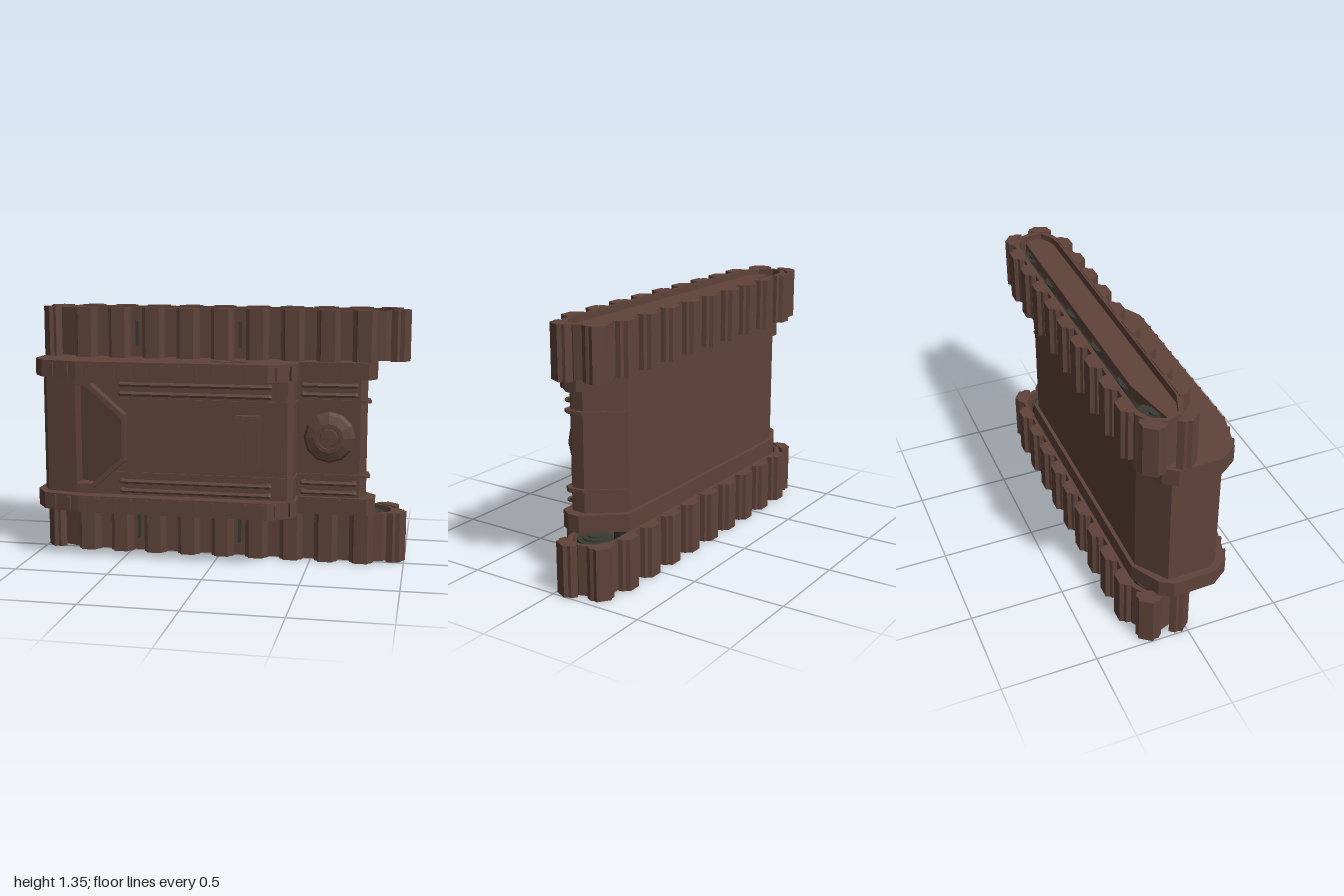
import * as THREE from 'three';

const brown = new THREE.MeshStandardMaterial({ color: 0x5f433a, flatShading: true });
brown.name = 'hullBrown';
const green = new THREE.MeshStandardMaterial({ color: 0x383b33, flatShading: true });
green.name = 'wheelGreen';
const MID = 0.675; // mirror plane in y

export function createModel() {
  const model = new THREE.Group();
  model.name = 'trackedChassis';

  const add = (name, geo, mat = brown, parent = model) => {
    const m = new THREE.Mesh(geo, mat);
    m.name = name;
    parent.add(m);
    return m;
  };
  const shapeOf = pts => new THREE.Shape(pts.map(([a, b]) => new THREE.Vector2(a, b)));
  // Profile in (x, z), extruded from y0 to y1; a hole must run opposite to the profile
  const slab = (pts, y0, y1, hole) => {
    const s = shapeOf(pts.map(([x, z]) => [x, -z]));
    if (hole) s.holes.push(shapeOf(hole.map(([x, z]) => [x, -z])));
    return new THREE.ExtrudeGeometry(s, { depth: y1 - y0, bevelEnabled: false }).rotateX(-Math.PI / 2).translate(0, y0, 0);
  };
  // Plan in (x, y), extruded from z0 to z1
  const plate = (pts, z0, z1) =>
    new THREE.ExtrudeGeometry(shapeOf(pts), { depth: z1 - z0, bevelEnabled: false }).translate(0, 0, z0);
  const box = (x0, x1, y0, y1, z0, z1) =>
    new THREE.BoxGeometry(x1 - x0, y1 - y0, z1 - z0).translate((x0 + x1) / 2, (y0 + y1) / 2, (z0 + z1) / 2);
  // Range in y, mirrored for the upper side
  const span = (up, a, b) => (up ? [2 * MID - b, 2 * MID - a] : [a, b]);
  const flip = (up, y) => (up ? 2 * MID - y : y);

  // Hull, with a sloping recess in the middle of the deck
  const tail = [[0.395, 0.21], [0.425, 0.185], [0.425, 0.06], [0.76, 0.06], [0.79, 0.03], [0.79, -0.04],
    [0.655, -0.21], [-0.79, -0.21], [-0.955, -0.1]];
  const nose = [[-0.955, 0.12], [-0.92, 0.175], [-0.75, 0.21]];
  add('hullCentre', slab([...nose, [-0.75, 0.11], [-0.48, 0.2], [-0.48, 0.21], ...tail], 0.41, 0.94));

  // Rim outline along both sides of the hull
  const rim = [[-0.995, -0.085], [-0.99, 0.14], [-0.925, 0.232], [-0.72, 0.285], [0.3, 0.285],
    [0.38, 0.245], [0.44, 0.18], [0.44, 0.085], [0.8, 0.085], [0.84, 0.025], [0.84, -0.04],
    [0.68, -0.23], [-0.8, -0.23], [-0.95, -0.15]];
  const belt = [[-0.55, 0.2], [-0.55, 0.218], [0.4, 0.218], [0.434, 0.19], [0.434, 0.07], [0.79, 0.07],
    [0.815, 0.035], [0.802, -0.04], [0.665, -0.214], [0.64, -0.2]];

  // Track loop
  const loop = [[-0.95, -0.13], [-0.925, -0.2], [-0.85, -0.245], [0.85, -0.245], [0.92, -0.2], [0.95, -0.12],
    [0.94, -0.05], [0.88, -0.005], [0.8, 0.01], [-0.8, 0.01], [-0.92, -0.04]];
  const inner = loop.map(([x, z]) => [x * 0.975, (z + 0.117) * 0.83 - 0.117]).reverse();
  const padProfile = [[-0.066, -0.012], [-0.06, 0.022], [-0.045, 0.03], [-0.037, 0.05], [0.037, 0.05],
    [0.045, 0.03], [0.06, 0.022], [0.066, -0.012]];
  // Track pads as x, z and the outward direction
  const pads = [[-0.938, -0.195, -0.8, -0.6], [-0.935, -0.035, -0.75, 0.66],
    [0.9, -0.217, 0.6, -0.8], [0.945, -0.06, 0.9, 0.44]];
  for (let i = 0; i < 9; i++) pads.push([-0.772 + i * 0.188, -0.248, 0, -1], [-0.74 + i * 0.189, 0.01, 0, 1]);

  for (const up of [false, true]) {
    const side = up ? 'Left' : 'Right';

    add('hullSide' + side, slab([...nose, ...tail], ...span(up, 0.33, 0.41)));
    add('recessCorner' + side, plate([[-0.65, flip(up, 0.41)], [-0.475, flip(up, 0.57)], [-0.475, flip(up, 0.41)]], 0.08, 0.21));
    // Angled guard wall beside the recess
    add('guardWall' + side, plate([[-0.65, flip(up, 0.39)], [-0.465, flip(up, 0.55)], [-0.48, flip(up, 0.57)],
      [-0.665, flip(up, 0.41)]], 0.19, 0.27));
    add('hullRim' + side, slab(rim, ...span(up, 0.27, 0.36)));
    add('belt' + side, slab(belt, ...span(up, 0.468, 0.484)));

    // Ribs across the rim edge
    const rib = (x, z, a) => {
      const m = add('rimRib', new THREE.BoxGeometry(0.014, 0.07, 0.026));
      m.position.set(x, flip(up, 0.318), z);
      m.rotation.y = a;
    };
    for (let i = 0; i < 12; i++) rib(-0.69 + i * 0.088, 0.286, 0);
    for (let i = 0; i < 4; i++) rib(0.49 + i * 0.085, 0.085, 0);
    rib(-0.77, 0.272, -0.25);
    rib(-0.86, 0.249, -0.25);
    rib(0.345, 0.263, 0.46);
    rib(0.41, 0.213, 0.82);

    // Long rods on both decks
    for (const y of [0.39, 0.44]) {
      for (const [x0, x1, z] of [[-0.5, 0.32, 0.243], [0.45, 0.75, 0.095]]) {
        add('deckRod', new THREE.CapsuleGeometry(0.012, x1 - x0 - 0.024, 3, 8).rotateZ(Math.PI / 2)
          .translate((x0 + x1) / 2, flip(up, y), z));
        for (const x of [x0 + 0.016, x1 - 0.016])
          add('rodMount', box(x - 0.011, x + 0.011, flip(up, y) - 0.011, flip(up, y) + 0.011, z - 0.04, z));
      }
    }

    // Side vent
    for (let i = 0; i < 5; i++)
      add('sideVentSlat', box(-0.02, 0.17, ...span(up, 0.267, 0.272), 0.11 + i * 0.02, 0.122 + i * 0.02));

    // Track assembly
    const track = new THREE.Group();
    track.name = 'track' + side;
    model.add(track);
    const [t0, t1] = span(up, 0, 0.27);
    add('trackBand', slab(loop, t0 + 0.004, t1 - 0.004, inner), brown, track);
    for (const [x, z, nx, nz] of pads) {
      const pts = padProfile.map(([a, h]) => [x - nz * a + nx * h, z + nx * a + nz * h]);
      add('trackPad', slab(pts, t0, t1), brown, track);
    }
    // Narrow slots between pads where the wheels show
    for (const x of [-0.457, 0.11])
      add('trackSlot', box(x - 0.009, x + 0.009, ...span(up, 0.07, 0.21), 0.006, 0.013), green, track);
    add('trackFrame', slab([[-0.91, -0.1], [-0.6, -0.16], [0.9, -0.16], [0.925, -0.11], [0.91, -0.05], [0.83, -0.02],
      [-0.83, -0.02], [-0.9, -0.06]], ...span(up, 0.035, 0.1)), brown, track);

    // Wheels: two large end wheels and four road wheels
    const wheel = (name, x, z, r) => {
      for (const [k, a, b] of [[1, 0.07, 0.25], [0.7, 0.06, 0.26], [0.4, 0.05, 0.268]]) {
        const [y0, y1] = span(up, a, b);
        add(name, new THREE.CylinderGeometry(r * k, r * k, y1 - y0, 16).translate(x, (y0 + y1) / 2, z), green, track);
      }
    };
    wheel('idlerWheel', -0.8, -0.115, 0.095);
    wheel('driveWheel', 0.8, -0.11, 0.09);
    for (let i = 0; i < 4; i++) wheel('roadWheel', -0.52 + i * 0.337, -0.1, 0.085);
  }

  // Guard wall centre
  add('guardWallCentre', box(-0.48, -0.465, 0.55, 0.8, 0.19, 0.27));

  // Deck grille with raised slats
  add('grilleBase', box(0.13, 0.25, 0.54, 0.81, 0.2, 0.25));
  for (let i = 0; i < 5; i++)
    add('grilleSlat', box(0.132 + i * 0.026, 0.144 + i * 0.026, 0.55, 0.8, 0.245, 0.262));

  // Round hatch on the lower deck
  const hatch = new THREE.LatheGeometry([[0.135, 0.055], [0.135, 0.09], [0.122, 0.107], [0.078, 0.12], [0.06, 0.12],
    [0.058, 0.11], [0.048, 0.11], [0.045, 0.121], [0, 0.122]].map(p => new THREE.Vector2(...p)), 12);
  add('roundHatch', hatch.rotateX(Math.PI / 2).translate(0.6, 0.685, 0));

  return model;
}
